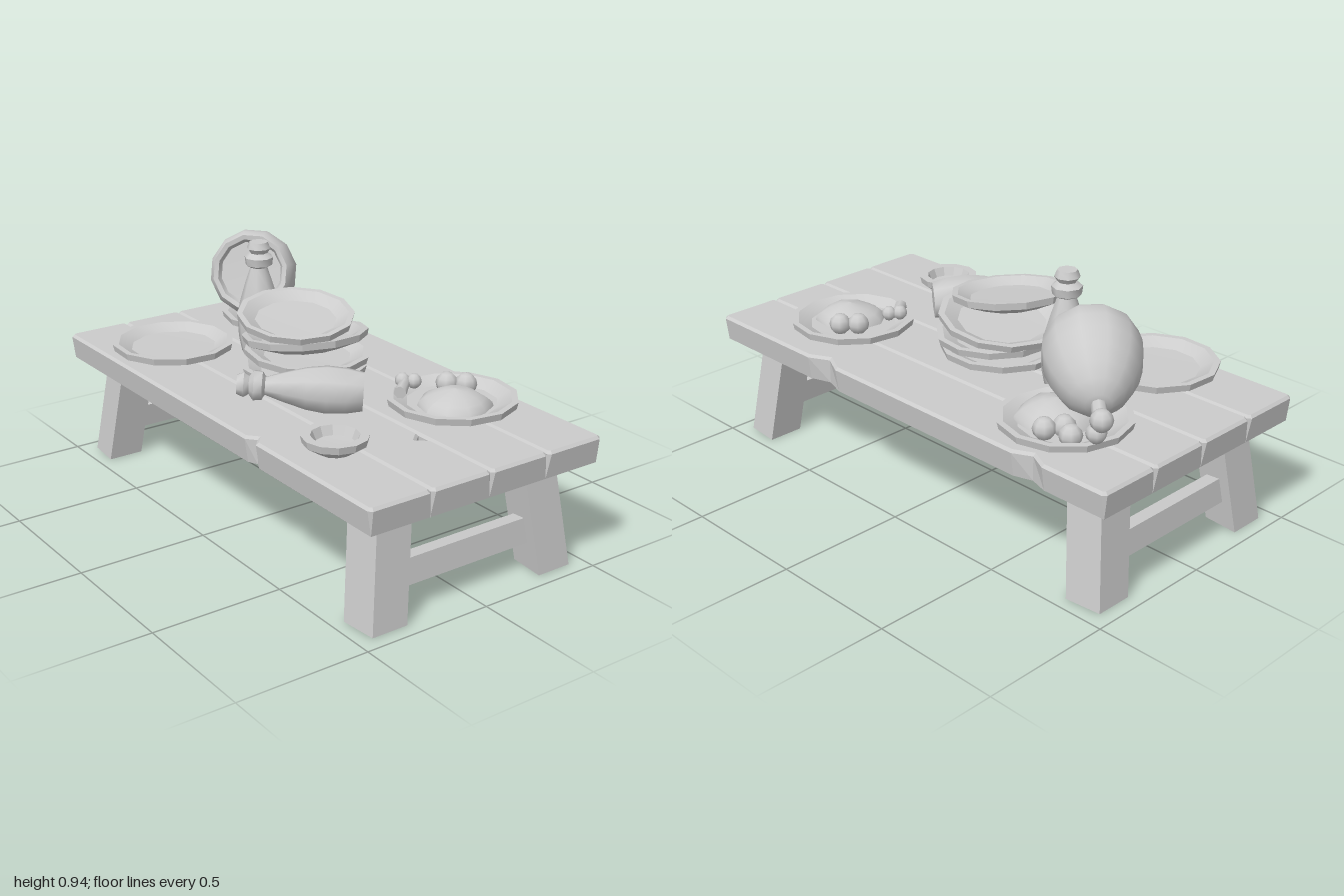
import * as THREE from 'three';
import { toCreasedNormals } from 'three/addons/utils/BufferGeometryUtils.js';

const grey = new THREE.MeshStandardMaterial({ color: 0xcccccc });
const twoSided = new THREE.MeshStandardMaterial({ color: 0xcccccc, side: THREE.DoubleSide });
const UP = new THREE.Vector3(0, 1, 0);

function part(name, geometry, parent, x = 0, y = 0, z = 0, material = grey) {
  const mesh = new THREE.Mesh(geometry, material);
  mesh.name = name;
  mesh.position.set(x, y, z);
  parent.add(mesh);
  return mesh;
}

// Turned shape from [radius, height] pairs
function turned(profile, sides, crease = 0.6) {
  const points = profile.map(([r, y]) => new THREE.Vector2(r, y));
  return toCreasedNormals(new THREE.LatheGeometry(points, sides), crease);
}

// Group whose y axis points along a direction
function aimed(name, parent, position, direction) {
  const g = new THREE.Group();
  g.name = name;
  g.position.set(...position);
  g.quaternion.setFromUnitVectors(UP, new THREE.Vector3(...direction).normalize());
  parent.add(g);
  return g;
}

const ball = (r) => new THREE.SphereGeometry(r, 8, 6);

// Plank outline in plan, with chips cut into its long edges: [z, half length, depth]
function plank(x0, x1, leftChips, rightChips) {
  const c = 0.013, pts = [[x0 + c, -1], [x1 - c, -1], [x1, -1 + c]];
  for (const [z, h, d] of rightChips) pts.push([x1, z - h], [x1 - d, z], [x1, z + h]);
  pts.push([x1, 1 - c], [x1 - c, 1], [x0 + c, 1], [x0, 1 - c]);
  for (const [z, h, d] of leftChips) pts.push([x0, z + h], [x0 + d, z], [x0, z - h]);
  pts.push([x0, -1 + c]);
  const shape = new THREE.Shape(pts.map(([x, z]) => new THREE.Vector2(x, -z)));
  const g = new THREE.ExtrudeGeometry(shape, {
    depth: 0.08, bevelThickness: 0.01, bevelSize: 0.01, bevelOffset: -0.01, bevelSegments: 1,
  });
  g.rotateX(-Math.PI / 2).translate(0, 0.41, 0);
  // Flat underside; plank ends meet at the bottom so the gaps form a V
  const p = g.attributes.position;
  for (let i = 0; i < p.count; i++) {
    if (p.getY(i) > 0.42) continue;
    let x = p.getX(i), z = p.getZ(i);
    if (Math.abs(z) > 0.97) {
      x = Math.round(x * 4) / 4;
      z = Math.sign(z) * 0.99;
    }
    p.setXYZ(i, THREE.MathUtils.clamp(x, -0.487, 0.487), 0.4, z);
  }
  g.computeVertexNormals();
  return g;
}

// Splayed leg: a box sheared outwards towards the floor
function leg(sx, sz) {
  const g = new THREE.BoxGeometry(0.143, 0.4, 0.14).toNonIndexed();
  const p = g.attributes.position;
  for (let i = 0; i < p.count; i++) {
    const x = p.getX(i), y = p.getY(i), z = p.getZ(i);
    const splay = (0.2 - y) / 0.4 * 0.05;
    const twist = -z * sz * 0.09;
    p.setXYZ(i, x + sx * (0.322 + splay + twist), y + 0.2, z + sz * (0.823 + splay));
  }
  g.computeVertexNormals();
  return g;
}

function mound(r, h) {
  const g = new THREE.SphereGeometry(1, 10, 5, 0, Math.PI * 2, 0, Math.PI / 2);
  const p = g.attributes.position;
  for (let i = 0; i < p.count; i++) {
    const x = p.getX(i), y = p.getY(i), z = p.getZ(i);
    const k = 1 + 0.1 * Math.sin(4 * x + 1) * Math.cos(3 * z);
    p.setXYZ(i, x * r * k, y * h * k, z * r * k);
  }
  g.computeVertexNormals();
  return g;
}

export function createModel() {
  const model = new THREE.Group();
  model.name = 'feastTable';

  // Table
  const table = new THREE.Group();
  table.name = 'table';
  model.add(table);
  const chips = [
    [[[0.33, 0.035, 0.03]], []],
    [[], [[0.655, 0.035, 0.04]]],
    [[], []],
    [[], [[-0.66, 0.07, 0.035], [0.39, 0.08, 0.04]]],
  ];
  chips.forEach(([l, r], i) => part('plank', plank(-0.5 + i * 0.25, -0.25 + i * 0.25, l, r), table));
  for (const sz of [-1, 1]) {
    for (const sx of [-1, 1]) part('leg', leg(sx, sz), table);
    part('stretcher', new THREE.BoxGeometry(0.6, 0.095, 0.06), table, 0, 0.15, sz * 0.85).rotation.x = -sz * 0.125;
  }

  // Plates: [x, y, z, tilt x, tilt z, spin]
  const plate = turned([[0, 0.003], [0.14, 0.003], [0.232, 0.036], [0.238, 0.062], [0.215, 0.062],
    [0.165, 0.036], [0, 0.033]], 12, 0.45);
  const plates = [
    [0.225, 0.5, 0.53, 0, 0, 0.1], [-0.28, 0.5, -0.55, 0, 0, 0.2], [0.27, 0.5, -0.62, 0, 0, 0],
    [-0.01, 0.5, -0.05, 0, 0, 0.25], [0, 0.555, -0.045, 0.04, -0.03, 0.1],
    [0.0, 0.616, -0.05, -0.13, -0.03, 0.4], [-0.04, 0.7, -0.06, 0.13, 0.055, 0],
  ];
  for (const [x, y, z, rx, rz, spin] of plates) {
    const m = part('plate', plate, model, x, y, z, twoSided);
    m.rotation.set(rx, spin, rz);
    if (y > 0.65) m.scale.set(0.92, 1, 0.92);
  }

  // Small bowl
  part('bowl', turned([[0, 0.002], [0.06, 0.002], [0.112, 0.036], [0.118, 0.063], [0.085, 0.063],
    [0.07, 0.03], [0, 0.025]], 12, 0.45), model, -0.325, 0.5, 0.58, twoSided);

  // Bottles, one standing and one lying
  const bottle = turned([[0, 0], [0.072, 0], [0.084, 0.06], [0.088, 0.13], [0.078, 0.2], [0.055, 0.28],
    [0.033, 0.345], [0.052, 0.355], [0.056, 0.385], [0.04, 0.398], [0.034, 0.402], [0.046, 0.42],
    [0.036, 0.445], [0, 0.445]], 8, 0.82);
  part('standingBottle', bottle, model, 0.015, 0.5, -0.385);
  const lying = aimed('lyingBottle', model, [-0.055, 0.588, 0.378], [-0.345, 0.022, -0.265]);
  part('bottleBody', bottle, lying);

  // Ham on the bone
  const ham = aimed('ham', model, [0.37, 0.64, -0.865], [-0.65, 0.29, 0.7]);
  part('hamMeat', turned([[0, 0.1], [0.045, 0.1], [0.09, 0.135], [0.125, 0.18], [0.152, 0.235], [0.171, 0.3],
    [0.174, 0.36], [0.166, 0.41], [0.15, 0.435], [0.132, 0.43], [0.122, 0.405], [0, 0.4]], 12, 0.8), ham);
  part('hamBone', new THREE.CylinderGeometry(0.026, 0.026, 0.42, 8), ham, 0, 0.215, 0);
  part('boneKnob', ball(0.04), model, 0.37, 0.662, -0.866);
  part('boneKnob', ball(0.036), model, 0.37, 0.61, -0.845);

  // Food on the plates
  part('foodMound', mound(0.15, 0.075), model, 0.27, 0.53, -0.58, twoSided);
  part('foodMound', mound(0.135, 0.065), model, 0.21, 0.53, 0.565, twoSided);
  const balls = [[0.38, -0.745], [0.405, -0.65], [0.345, -0.685], [0.275, 0.44], [0.325, 0.487]];
  for (const [x, z] of balls) part('foodBall', ball(0.041), model, x, 0.568, z);

  // Small gnawed bone
  const bone = aimed('smallBone', model, [0.06, 0.578, 0.44], [0.08, 0.01, -0.065]);
  part('boneShaft', new THREE.CylinderGeometry(0.017, 0.024, 0.1, 7), bone, 0, 0.05, 0);
  part('boneKnob', ball(0.028), model, 0.125, 0.59, 0.372);
  part('boneKnob', ball(0.028), model, 0.157, 0.588, 0.398);

  return model;
}
